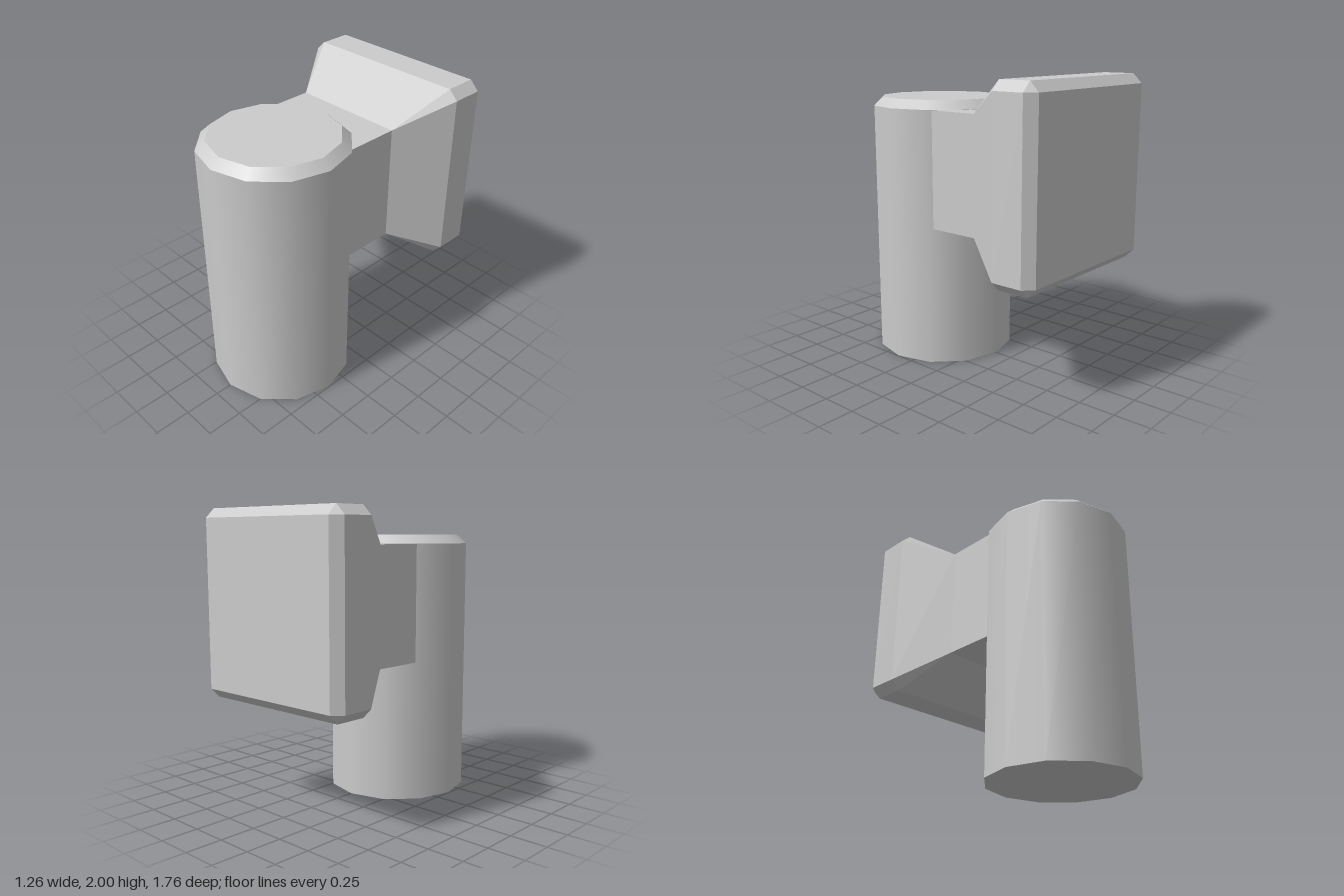
import * as THREE from 'three';

const SIDES = 12;
const MID_Y = 1.368; // height of the head's axis

// Rectangle with cut corners, counter-clockwise seen from the front (+z)
function section(w, h, cut, z) {
  const a = w - cut, b = h - cut;
  return [[w, -b], [w, b], [a, h], [-a, h], [-w, b], [-w, -b], [-a, -h], [a, -h]]
    .map(([x, y]) => new THREE.Vector3(x, MID_Y + y, z));
}

// Flat-shaded skin through sections that run from front to back, capped at both ends
function loft(sections) {
  const pos = [];
  const tri = (a, b, c) => {
    if (a.equals(b) || b.equals(c) || c.equals(a)) return;
    for (const p of [a, b, c]) pos.push(p.x, p.y, p.z);
  };
  for (let s = 0; s < sections.length - 1; s++) {
    const f = sections[s], k = sections[s + 1], n = f.length;
    for (let i = 0; i < n; i++) {
      const j = (i + 1) % n;
      tri(f[i], k[i], k[j]);
      tri(f[i], k[j], f[j]);
    }
  }
  const first = sections[0], last = sections[sections.length - 1];
  for (let i = 1; i < first.length - 1; i++) {
    tri(first[0], first[i], first[i + 1]);
    tri(last[0], last[i + 1], last[i]);
  }
  const geo = new THREE.BufferGeometry();
  geo.setAttribute('position', new THREE.Float32BufferAttribute(pos, 3));
  geo.computeVertexNormals();
  return geo;
}

export function createModel() {
  const group = new THREE.Group();
  const smooth = new THREE.MeshStandardMaterial({ color: 0xcccccc });
  const flat = new THREE.MeshStandardMaterial({ color: 0xcccccc, flatShading: true });

  const add = (name, geo, mat, y = 0, z = 0) => {
    const mesh = new THREE.Mesh(geo, mat);
    mesh.name = name;
    mesh.position.set(0, y, z);
    group.add(mesh);
  };

  // Upright post: smooth sides, bevelled rim and flat ends
  const R = 0.495, RIM = 0.43, BODY = 1.77, TOP = 1.83, POST_Z = 0.385;
  add('postBody', new THREE.CylinderGeometry(R, R, BODY, SIDES, 1, true), smooth, BODY / 2, POST_Z);
  add('postRim', new THREE.CylinderGeometry(RIM, R, TOP - BODY, SIDES, 1, true), smooth, (TOP + BODY) / 2, POST_Z);
  const disc = (r, up) => new THREE.CircleGeometry(r, SIDES).rotateX(up ? -Math.PI / 2 : Math.PI / 2);
  add('postTop', disc(RIM, true), flat, TOP, POST_Z);
  add('postBottom', disc(R, false), flat, 0, POST_Z);

  // Square neck flaring into a block with bevelled edges
  add('neckAndHead', loft([
    section(0.4, 0.4, 0, 0.3),
    section(0.4, 0.4, 0, -0.255),
    section(0.632, 0.632, 0.063, -0.597),
    section(0.632, 0.632, 0.063, -0.817),
    section(0.569, 0.569, 0, -0.88),
  ]), flat);

  return group;
}
